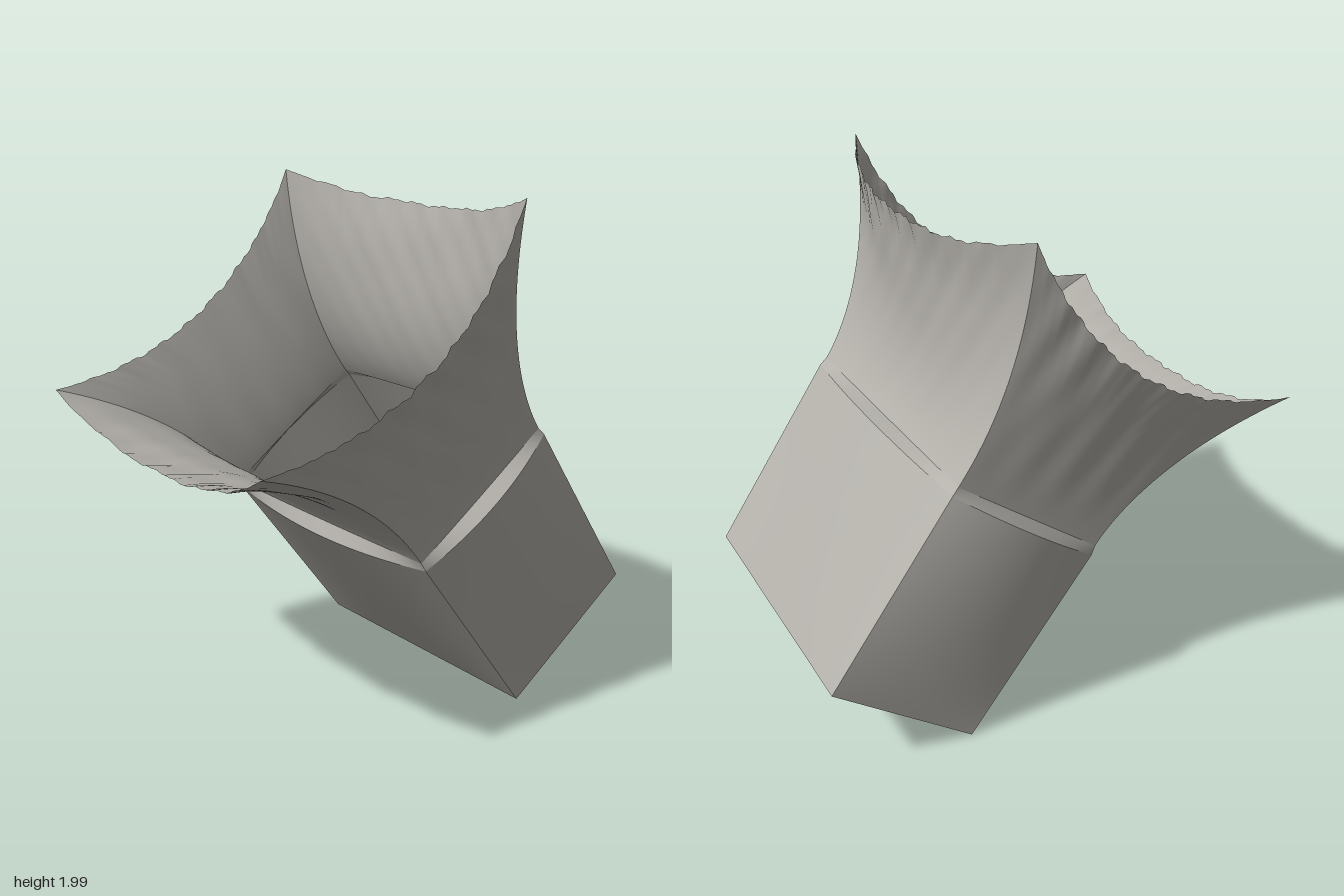
import * as THREE from 'three';

const mix = THREE.MathUtils.lerp;

// Local frame: x across, s along the tilted axis, v towards the back
const place = (x, s, v) => new THREE.Vector3(x, 0.205 + 0.813 * s + 0.582 * v, -0.645 + 0.582 * s - 0.813 * v);

// Soft hand-made unevenness, shared by neighbouring walls
const ripple = (p) =>
  0.5 * Math.sin(17 * p.x + 9 * p.y + 2 * p.z) + 0.4 * Math.sin(29 * p.z - 13 * p.y + 5 * p.x) +
  0.3 * Math.sin(41 * p.x - 23 * p.z + 31 * p.y);

// Grid surface from point(f, t) with f in -1..1 and t in 0..1
function sheet(nf, nt, point, flip) {
  const pos = [], index = [];
  for (let j = 0; j <= nt; j++)
    for (let i = 0; i <= nf; i++) pos.push(...point((2 * i) / nf - 1, j / nt).toArray());
  for (let j = 0; j < nt; j++)
    for (let i = 0; i < nf; i++) {
      const a = j * (nf + 1) + i, b = a + 1, c = a + nf + 1, d = c + 1;
      if (flip) index.push(a, c, b, b, c, d);
      else index.push(a, b, c, b, d, c);
    }
  const g = new THREE.BufferGeometry();
  g.setAttribute('position', new THREE.Float32BufferAttribute(pos, 3));
  g.setIndex(index);
  g.computeVertexNormals();
  return g;
}

// One point on a wall; hx and hv are corner half sizes, bulge pushes the middle out
function wallPoint(wall, f, s, hx, hv, bulge) {
  const out = bulge * (1 - f * f);
  return wall.side ? place(wall.sign * (hx + out), s, f * hv) : place(f * hx, s, wall.sign * (hv + out));
}

export function createModel() {
  const group = new THREE.Group();
  const grey = new THREE.MeshStandardMaterial({ color: 0xb4b1ab, side: THREE.DoubleSide });
  grey.name = 'warm grey';
  const add = (name, geometry) => {
    const mesh = new THREE.Mesh(geometry, grey);
    mesh.name = name;
    group.add(mesh);
  };

  const walls = [
    { name: 'front', side: false, sign: -1, flip: false },
    { name: 'back', side: false, sign: 1, flip: true },
    { name: 'left', side: true, sign: 1, flip: false },
    { name: 'right', side: true, sign: -1, flip: true },
  ];

  for (const w of walls) {
    // Box wall, swelling towards the neck
    add(w.name + 'BoxWall', sheet(24, 16, (f, t) =>
      wallPoint(w, f, 0.838 * t, mix(0.59, 0.605, t), mix(0.34, 0.355, t), 0.05 * Math.pow(t, 0.85)), w.flip));

    // Sloping shoulder from the swollen wall in to the neck
    add(w.name + 'Shoulder', sheet(24, 2, (f, t) =>
      wallPoint(w, f, mix(0.838, 0.875, t), mix(0.605, 0.6, t), mix(0.355, 0.35, t), mix(0.05, 0.004, t)), w.flip));

    // Flared flap with a sagging, ragged rim
    add(w.name + 'Flap', sheet(72, 40, (f, t) => {
      const rim = w.side ? mix(1.52, 1.72, f * f) : mix(1.56, 1.72, Math.pow(Math.abs(f), 2.5));
      const flare = Math.pow(t, 1.9);
      const p = wallPoint(w, f, mix(0.875, rim, t), mix(0.6, 0.72, Math.pow(t, 1.5)),
        mix(0.35, 0.68, flare), (w.side ? 0 : 0.06) * flare + 0.004);
      const n = ripple(p) * t;
      const fray = 0.008 * Math.sin(47 * f + 2 * w.sign) * Math.sin(19 * f + 1) * (1 - f ** 4) * t ** 6;
      const push = w.side ? place(w.sign, 0, 0) : place(0, 0, w.sign);
      push.sub(place(0, 0, 0)).multiplyScalar(0.007 * n * (1 - f ** 6));
      return p.add(push).add(place(0, fray, 0).sub(place(0, 0, 0)));
    }, w.flip));
  }

  // Base, slightly dished inwards
  add('base', sheet(16, 10, (f, t) => {
    const g = 2 * t - 1;
    return place(0.59 * f, 0.02 * (1 - f * f) * (1 - g * g), 0.34 * g);
  }, true));

  return group;
}
